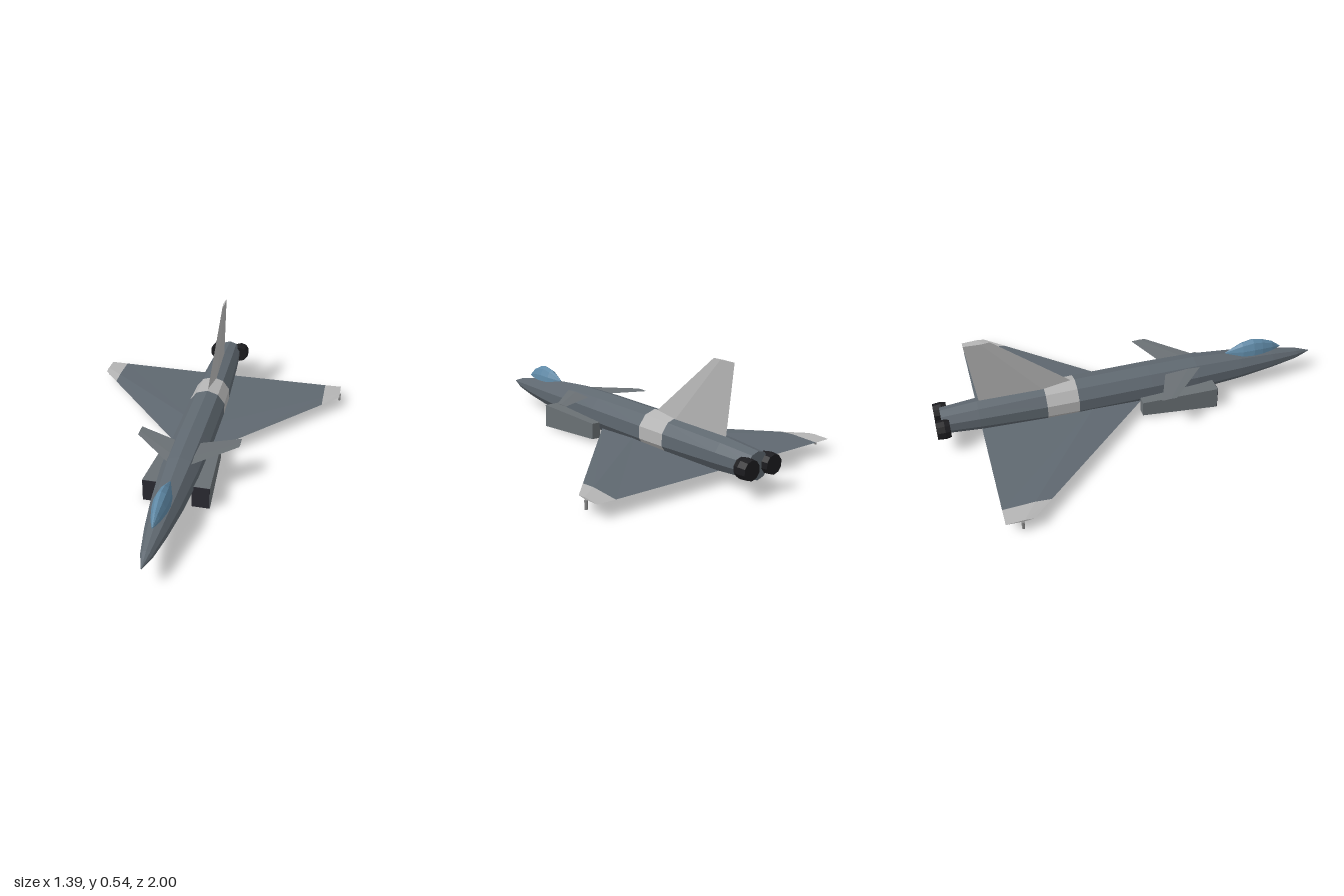
import * as THREE from 'three';

const mat = (color) => new THREE.MeshStandardMaterial({ color, flatShading: true });
const BODY = mat(0x5f6870), LIGHT = mat(0xb4b4b4), PANEL = mat(0x6a7074);
const DARK = mat(0x2a2a32), BLACK = mat(0x1c1c1f), GLASS = mat(0x5f89a6), ROD = mat(0x8a8a8a);

// Closed solid through a list of equal-length rings of [x, y, z], faces turned outward
function loft(name, rings, material) {
  const v = (p) => new THREE.Vector3(...p);
  const tris = [], n = rings[0].length;
  for (let i = 0; i + 1 < rings.length; i++) {
    for (let j = 0; j < n; j++) {
      const k = (j + 1) % n, a = rings[i], b = rings[i + 1];
      tris.push([a[j], b[j], b[k]], [a[j], b[k], a[k]]);
    }
  }
  const last = rings[rings.length - 1];
  for (let j = 1; j + 1 < n; j++) {
    tris.push([rings[0][0], rings[0][j], rings[0][j + 1]], [last[0], last[j + 1], last[j]]);
  }
  const volume = tris.reduce((s, [a, b, c]) => s + v(a).dot(v(b).cross(v(c))), 0);
  const pos = tris.flatMap(([a, b, c]) => (volume < 0 ? [a, c, b] : [a, b, c]).flat());
  const g = new THREE.BufferGeometry();
  g.setAttribute('position', new THREE.Float32BufferAttribute(pos, 3));
  g.computeVertexNormals();
  const mesh = new THREE.Mesh(g, material);
  mesh.name = name;
  return mesh;
}

// Ten-sided body section with a corner at the top
const bodyRing = ([z, y, r]) => Array.from({ length: 10 }, (_, i) => {
  const a = (i / 10) * Math.PI * 2;
  return [r * Math.sin(a), y + r * Math.cos(a), z];
});

// Diamond wing section at x: leading edge, thickest point, trailing edge
const wingRing = (s, x, y, front, ridge, back, t) => [
  [s * x, y, front], [s * x, y + t, ridge], [s * x, y, back], [s * x, y - t, ridge],
];

const boxRing = (x0, x1, y0, y1, z) => [[x0, y0, z], [x1, y0, z], [x1, y1, z], [x0, y1, z]];

export function createModel() {
  const model = new THREE.Group();
  model.name = 'jetAircraft';

  // Fuselage with a light band in front of the fin: z, centre y, radius
  const stations = [
    [1, 0.116, 0.002], [0.92, 0.117, 0.028], [0.77, 0.12, 0.054], [0.58, 0.122, 0.077],
    [0.33, 0.125, 0.096], [0.08, 0.125, 0.1], [-0.3, 0.125, 0.099],
    [-0.46, 0.125, 0.095], [-0.79, 0.126, 0.078], [-0.97, 0.126, 0.064],
  ].map(bodyRing);
  model.add(
    loft('frontFuselage', stations.slice(0, 7), BODY),
    loft('fuselageBand', stations.slice(6, 8), LIGHT),
    loft('rearFuselage', stations.slice(7), BODY),
  );

  // Canopy with a flat base: z, half width, base y, height
  const arch = [[-1, 0], [-0.9, 0.4], [-0.5, 0.83], [0, 1], [0.5, 0.83], [0.9, 0.4], [1, 0]];
  const canopy = [
    [0.82, 0.003, 0.185, 0.004], [0.77, 0.022, 0.184, 0.045], [0.71, 0.036, 0.184, 0.07],
    [0.66, 0.041, 0.185, 0.078], [0.6, 0.034, 0.186, 0.065], [0.51, 0.004, 0.2, 0.01],
  ].map(([z, w, y, h]) => arch.map(([x, u]) => [x * w, y + u * h, z]));
  model.add(loft('canopy', canopy, GLASS));

  // Tail fin
  const finRing = (y, front, ridge, back, t) =>
    [[0, y, front], [t, y, ridge], [0, y, back], [-t, y, ridge]];
  model.add(loft('tailFin', [
    finRing(0.18, -0.27, -0.44, -0.777, 0.019),
    finRing(0.537, -0.69, -0.735, -0.815, 0.005),
  ], LIGHT));

  for (const s of [1, -1]) {
    const side = s > 0 ? 'left' : 'right';

    // Delta wing and its light tip
    const mid = wingRing(s, 0.6, 0.063, -0.56, -0.635, -0.785, 0.006);
    model.add(
      loft(side + 'Wing', [wingRing(s, 0.04, 0.061, 0.061, -0.2, -0.785, 0.018), mid], BODY),
      loft(side + 'WingTip', [mid, wingRing(s, 0.69, 0.064, -0.66, -0.7, -0.785, 0.004)], LIGHT),
    );

    // Canard
    model.add(loft(side + 'Canard', [
      wingRing(s, 0.045, 0.196, 0.36, 0.29, 0.165, 0.004),
      wingRing(s, 0.256, 0.196, 0.15, 0.12, 0.075, 0.002),
    ], PANEL));

    // Tapered air intake with a dark mouth
    model.add(
      loft(side + 'Intake', [
        boxRing(s * 0.075, s * 0.165, 0, 0.117, 0.408),
        boxRing(s * 0.095, s * 0.14, 0.02, 0.1, 0.015),
      ], PANEL),
      loft(side + 'IntakeMouth', [
        boxRing(s * 0.076, s * 0.164, 0.001, 0.116, 0.41),
        boxRing(s * 0.076, s * 0.164, 0.001, 0.116, 0.407),
      ], DARK),
    );

    // Engine nozzle
    const nozzle = [[-0.935, 0.044], [-0.96, 0.049], [-1, 0.045]]
      .map(([z, r]) => bodyRing([z, 0.126, r]).map(([x, y, zz]) => [x + s * 0.066, y, zz]));
    model.add(loft(side + 'Nozzle', nozzle, BLACK));

    // Small rods under the wing
    for (const [name, x, z] of [['InnerRod', 0.346, -0.5], ['OuterRod', 0.69, -0.71]]) {
      const rod = new THREE.Mesh(new THREE.CylinderGeometry(0.007, 0.007, 0.04, 6), ROD);
      rod.name = side + name;
      rod.position.set(s * x, 0.039, z);
      model.add(rod);
    }
  }
  return model;
}
